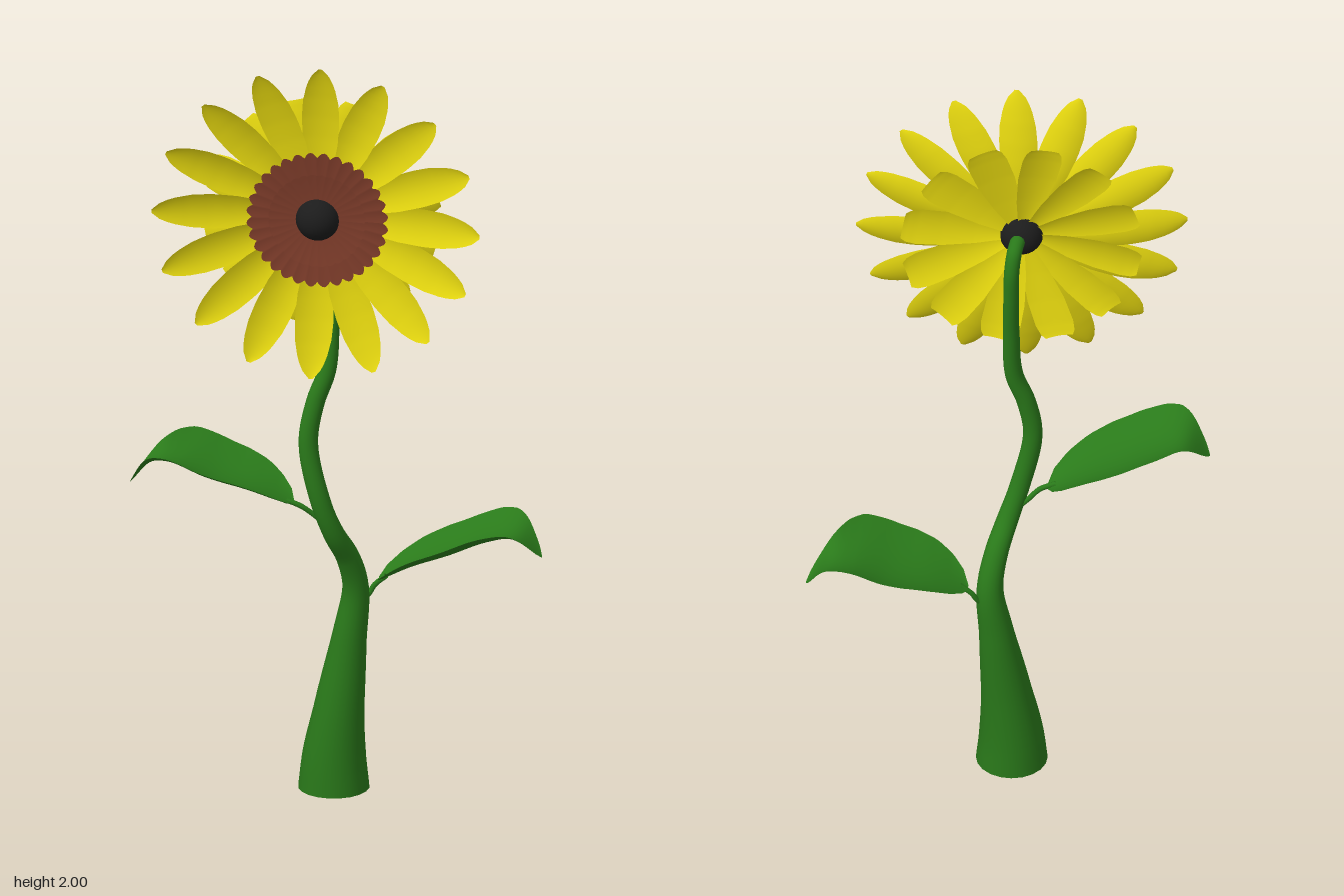
import * as THREE from 'three';
import { ParametricGeometry } from 'three/addons/geometries/ParametricGeometry.js';

const mat = (color) => new THREE.MeshStandardMaterial({ color, side: THREE.DoubleSide });
const green = mat(0x2a7a1a), yellow = mat(0xe6d80f), brown = mat(0x7d3c2a), black = mat(0x1c1c1c);
const V = (x, y, z) => new THREE.Vector3(x, y, z);

function add(parent, name, geometry, material) {
  const mesh = new THREE.Mesh(geometry, material);
  mesh.name = name;
  parent.add(mesh);
  return mesh;
}

// Linear interpolation through [position, value] pairs
function ramp(stops, t) {
  if (t <= stops[0][0]) return stops[0][1];
  for (let i = 1; i < stops.length; i++) {
    const [a, va] = stops[i - 1], [b, vb] = stops[i];
    if (t <= b) return va + (vb - va) * (t - a) / (b - a);
  }
  return stops[stops.length - 1][1];
}

// Tube whose radius follows the height of its path
function taperedTube(points, radii, segments, sides) {
  const path = new THREE.CatmullRomCurve3(points);
  const geo = new THREE.TubeGeometry(path, segments, 1, sides);
  const pos = geo.attributes.position, v = new THREE.Vector3();
  for (let i = 0; i <= segments; i++) {
    const p = path.getPointAt(i / segments);
    for (let j = 0; j <= sides; j++) {
      const k = i * (sides + 1) + j;
      v.fromBufferAttribute(pos, k).sub(p).multiplyScalar(ramp(radii, p.y)).add(p);
      pos.setXYZ(k, v.x, i === 0 ? points[0].y : v.y, v.z);
    }
  }
  return geo;
}

// Petal along +y: half widths by length, rise of the tip in z, cup and tilt across
function petalGeometry(r0, r1, widths, zBase, rise, power, cup, tilt) {
  return new ParametricGeometry((u, t, out) => {
    const s = t * 2 - 1, w = ramp(widths, u);
    const z = zBase + rise * Math.pow(u, power) + cup * (s * s - 1) * w + tilt * s * w;
    out.set(s * w, r0 + (r1 - r0) * u, z);
  }, 20, 6);
}

// Dished disc with a scalloped rim
function discGeometry(radius, scallop, teeth, zCentre, zRim) {
  return new ParametricGeometry((u, t, out) => {
    const a = t * Math.PI * 2;
    const r = u * (radius - scallop + scallop * Math.abs(Math.sin(a * teeth / 2)));
    out.set(r * Math.cos(a), r * Math.sin(a), zCentre + (zRim - zCentre) * u * u);
  }, 4, teeth * 6);
}

// Drooping, cupped leaf blade from its stalk at the origin side towards +x
function leafGeometry() {
  const mid = new THREE.CatmullRomCurve3([
    V(0.10, 0.555, -0.06), V(0.19, 0.60, -0.07), V(0.29, 0.635, -0.08),
    V(0.39, 0.675, -0.085), V(0.45, 0.675, -0.105), V(0.51, 0.615, -0.12),
  ]);
  const widths = [[0, 0.012], [0.03, 0.05], [0.1, 0.083], [0.2, 0.108], [0.32, 0.125], [0.45, 0.131],
    [0.58, 0.125], [0.7, 0.108], [0.8, 0.082], [0.88, 0.055], [0.94, 0.036], [0.98, 0.02], [1, 0.004]];
  return new ParametricGeometry((u, t, out) => {
    const s = t * 2 - 1, w = ramp(widths, u);
    mid.getPoint(u, out);
    out.z -= s * w;
    out.y += 0.042 * s * s * w / 0.131;
    out.x += 0.02 * s * Math.sin(Math.PI * u);
  }, 32, 10);
}

export function createModel() {
  const model = new THREE.Group();
  model.name = 'sunflower';

  // Winding stem, thick at the foot and hooked at the top
  const stemPoints = [
    V(-0.01, 0, -0.033), V(-0.009, 0.08, -0.033), V(0.002, 0.2, -0.035), V(0.028, 0.4, -0.042),
    V(0.045, 0.54, -0.038), V(0.03, 0.63, -0.01), V(0.0, 0.71, 0.035), V(-0.03, 0.8, 0.056),
    V(-0.062, 0.96, 0.057), V(-0.045, 1.07, 0.052), V(-0.015, 1.16, 0.044), V(-0.008, 1.3, 0.024),
    V(-0.008, 1.44, 0.002), V(-0.01, 1.53, -0.004), V(-0.018, 1.583, 0.012), V(-0.03, 1.59, 0.06),
  ];
  const stemRadii = [[0, 0.091], [0.1, 0.08], [0.2, 0.066], [0.3, 0.056], [0.4, 0.045],
    [0.55, 0.033], [0.75, 0.026], [1.1, 0.024], [1.4, 0.02], [1.6, 0.019]];
  add(model, 'stem', taperedTube(stemPoints, stemRadii, 90, 20), green);
  const foot = add(model, 'stemBase', new THREE.CircleGeometry(0.09, 24), green);
  foot.rotation.x = Math.PI / 2;
  foot.position.set(-0.01, 0.001, -0.033);

  // Two leaves, the upper one turned half way round the stem
  const blade = leafGeometry();
  const stalks = [
    [V(0.04, 0.49, -0.04), V(0.075, 0.515, -0.058), V(0.09, 0.54, -0.062), V(0.12, 0.566, -0.062)],
    [V(0.01, 0.49, -0.045), V(0.05, 0.525, -0.05), V(0.08, 0.55, -0.06), V(0.12, 0.566, -0.062)],
  ];
  ['lowerLeaf', 'upperLeaf'].forEach((name, i) => {
    const leaf = new THREE.Group();
    leaf.name = name;
    add(leaf, 'leafBlade', blade, green);
    add(leaf, 'leafStalk', new THREE.TubeGeometry(new THREE.CatmullRomCurve3(stalks[i]), 12, 0.007, 8), green);
    leaf.rotation.y = i * Math.PI;
    leaf.position.set(0, i * 0.237, i * -0.006);
    model.add(leaf);
  });

  // Flower head facing the front
  const head = new THREE.Group();
  head.name = 'flowerHead';
  head.position.set(-0.033, 1.582, 0);
  model.add(head);

  const ring = (name, count, start, geometry) => {
    for (let i = 0; i < count; i++) {
      add(head, name, geometry, yellow).rotation.z = start + (i / count) * Math.PI * 2;
    }
  };
  // Long front petals with rounded tips
  const frontWidths = [[0, 0.014], [0.25, 0.032], [0.45, 0.045], [0.62, 0.049], [0.75, 0.046],
    [0.85, 0.038], [0.92, 0.029], [0.97, 0.018], [1, 0.005]];
  ring('frontPetal', 16, -0.03, petalGeometry(0.03, 0.42, frontWidths, 0.076, 0.053, 2, 0.2, 0.12));
  // Shorter, blunt petals swept backwards
  const backWidths = [[0, 0.014], [0.3, 0.035], [0.6, 0.048], [0.85, 0.05], [0.95, 0.045], [1, 0.036]];
  ring('backPetal', 12, 0.2, petalGeometry(0.03, 0.305, backWidths, 0.068, -0.04, 1.2, -0.15, -0.15));

  // Brown scalloped seed disc in two layers, and a black centre
  add(head, 'outerSeedDisc', discGeometry(0.182, 0.014, 32, 0.09, 0.099), brown);
  add(head, 'innerSeedDisc', discGeometry(0.125, 0.004, 32, 0.096, 0.105), brown);
  add(head, 'centre', new THREE.SphereGeometry(0.057, 24, 16), black).position.z = 0.085;

  return model;
}
